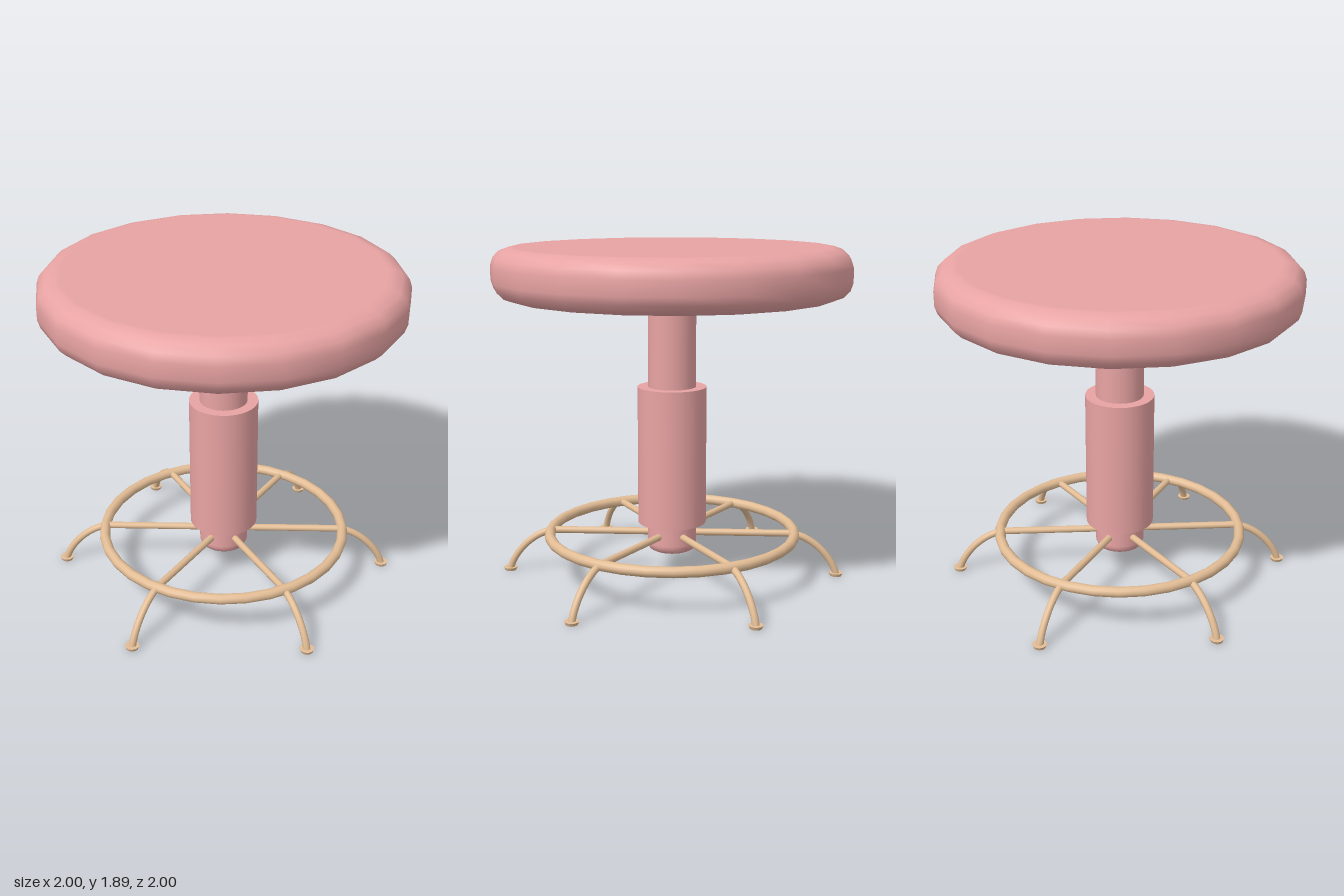
import * as THREE from 'three';

const pink = new THREE.MeshStandardMaterial({ color: 0xe8a3a3 });
const tan = new THREE.MeshStandardMaterial({ color: 0xe3bd95 });

function add(parent, name, geometry, material, x = 0, y = 0, z = 0) {
  const mesh = new THREE.Mesh(geometry, material);
  mesh.name = name;
  mesh.position.set(x, y, z);
  parent.add(mesh);
  return mesh;
}

// Profile points run from the bottom axis outwards and up
const lathe = (points, sides) =>
  new THREE.LatheGeometry(points.map(([r, y]) => new THREE.Vector2(r, y)), sides);

export function createModel() {
  const stool = new THREE.Group();
  stool.name = 'stool';

  // Round cushion with softened rims
  add(stool, 'seat', lathe([
    [0, 1.61], [0.87, 1.61], [0.9, 1.612], [0.95, 1.63], [0.985, 1.665], [1, 1.71],
    [1, 1.79], [0.985, 1.835], [0.95, 1.87], [0.9, 1.888], [0.87, 1.89], [0, 1.89],
  ], 20), pink);

  // Telescoping column
  add(stool, 'column', new THREE.CylinderGeometry(0.135, 0.135, 0.6, 32), pink, 0, 1.33, 0);
  add(stool, 'sleeve', new THREE.CylinderGeometry(0.195, 0.195, 0.79, 32), pink, 0, 0.71, 0);
  add(stool, 'hub', lathe([
    [0, 0.15], [0.105, 0.15], [0.112, 0.151], [0.13, 0.161], [0.14, 0.185], [0.14, 0.2], [0.14, 0.33],
  ], 32), pink);

  // Foot ring
  const ring = add(stool, 'footRing', new THREE.TorusGeometry(0.705, 0.03, 10, 32), tan, 0, 0.25, 0);
  ring.rotation.x = Math.PI / 2;

  // Six legs: straight spoke, then a curve down to a small foot
  const path = new THREE.CurvePath();
  const v = (x, y) => new THREE.Vector3(x, y, 0);
  path.add(new THREE.LineCurve3(v(0.1, 0.25), v(0.68, 0.25)));
  path.add(new THREE.CubicBezierCurve3(v(0.68, 0.25), v(0.8, 0.24), v(0.92, 0.12), v(0.95, 0.01)));
  const legGeometry = new THREE.TubeGeometry(path, 36, 0.02, 10);
  const footGeometry = new THREE.CylinderGeometry(0.04, 0.033, 0.018, 12);
  for (let i = 0; i < 6; i++) {
    const leg = new THREE.Group();
    leg.name = 'leg' + (i + 1);
    leg.rotation.y = (i * Math.PI) / 3;
    add(leg, 'spoke', legGeometry, tan);
    add(leg, 'foot', footGeometry, tan, 0.95, 0.009, 0);
    stool.add(leg);
  }
  return stool;
}
